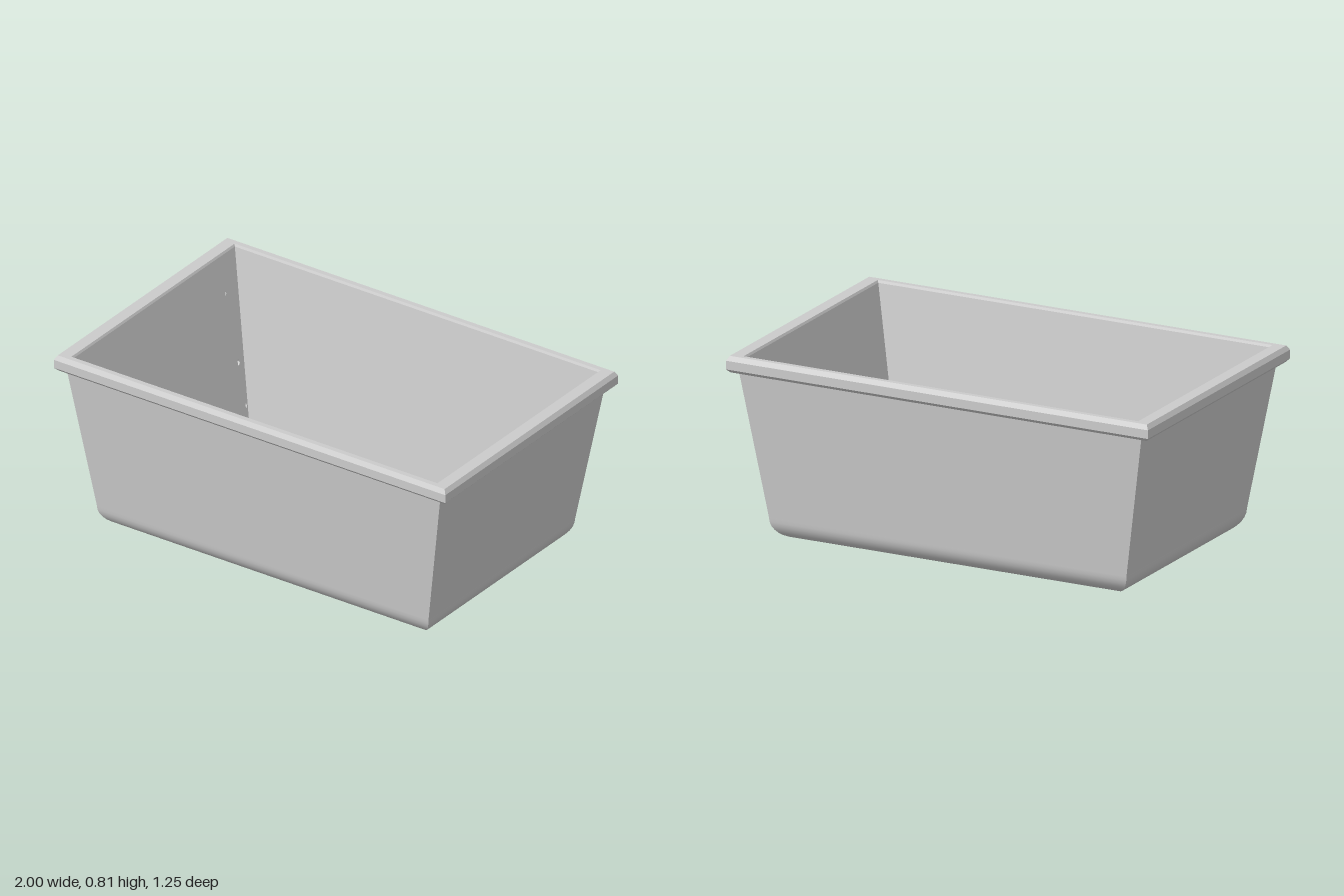
import * as THREE from 'three';
import { mergeGeometries, toCreasedNormals } from 'three/addons/utils/BufferGeometryUtils.js';

const material = new THREE.MeshStandardMaterial({ color: 0xcccccc });
const POCKET = 0.02, STEPS = 20;

// Half sizes in x and z of the sloping outer and inner skins at two heights
const OUTER = { y0: 0.1, y1: 0.75, x: [0.847, 0.955], z: [0.53, 0.597] };
const INNER = { y0: 0.04, y1: 0.8, x: [0.77, 0.93], z: [0.465, 0.585] };
const half = (skin, axis, y) =>
  THREE.MathUtils.mapLinear(y, skin.y0, skin.y1, skin[axis][0], skin[axis][1]);

// Places wall coordinates (u along, y up, d outward) on side k: front, +x, back, -x
function place(k, u, y, d) {
  return [[u, y, d], [d, y, -u], [-u, y, -d], [-d, y, u]][k];
}
const depthAxis = (k) => (k % 2 ? 'x' : 'z');
const widthAxis = (k) => (k % 2 ? 'z' : 'x');

function build(positions, indices) {
  const g = new THREE.BufferGeometry();
  g.setAttribute('position', new THREE.Float32BufferAttribute(positions.flat(), 3));
  g.setIndex(indices);
  return g.toNonIndexed();
}

// Flat shape bent onto a wall; flip makes it face the inside
function skin(shape, k, depth, flip) {
  const g = new THREE.ShapeGeometry(shape, STEPS);
  const p = g.attributes.position, pts = [];
  for (let i = 0; i < p.count; i++) pts.push(place(k, p.getX(i), p.getY(i), depth(p.getY(i))));
  const idx = Array.from(g.index.array);
  return build(pts, flip ? idx.reverse() : idx);
}

function ellipse(h, Type) {
  const s = new Type();
  s.absellipse(h.u, h.y, h.rx, h.ry, 0, Math.PI * 2, false, 0);
  return s;
}

// Side of an opening, from the inner depth to the outer one
function tunnel(h, k, inner, outer) {
  const pts = [], idx = [];
  for (let i = 0; i <= STEPS; i++) {
    const t = (i / STEPS) * Math.PI * 2;
    const u = h.u + h.rx * Math.cos(t), y = h.y + h.ry * Math.sin(t);
    pts.push(place(k, u, y, inner(y)), place(k, u, y, outer(y)));
    if (i < STEPS) {
      const b = i * 2;
      idx.push(b, b + 1, b + 3, b, b + 3, b + 2);
    }
  }
  return build(pts, idx);
}

function trapezoid(s, k, holes) {
  const a = half(s, widthAxis(k), s.y0), b = half(s, widthAxis(k), s.y1);
  const shape = new THREE.Shape([[-a, s.y0], [a, s.y0], [b, s.y1], [-b, s.y1]]
    .map(([x, y]) => new THREE.Vector2(x, y)));
  shape.holes = holes.map((h) => ellipse(h, THREE.Path));
  return shape;
}

// One wall: two skins, openings that go through and shallow inner pockets
function wallGeometry(k, holes) {
  const inner = (y) => half(INNER, depthAxis(k), y);
  const outer = (y) => half(OUTER, depthAxis(k), y);
  const pocket = (y) => inner(y) + POCKET;
  const parts = [
    skin(trapezoid(OUTER, k, holes.filter((h) => h.through)), k, outer, false),
    skin(trapezoid(INNER, k, holes), k, inner, true),
  ];
  for (const h of holes) {
    parts.push(tunnel(h, k, inner, h.through ? outer : pocket));
    if (!h.through) parts.push(skin(ellipse(h, THREE.Shape), k, pocket, true));
  }
  return toCreasedNormals(mergeGeometries(parts), 0.6);
}

// Rectangular mitred rings [half x, y, half z], listed upwards for an outer face
function mitred(rings) {
  const parts = [];
  for (let k = 0; k < 4; k++) {
    const pts = [], idx = [];
    rings.forEach(([x, y, z], i) => {
      const w = k % 2 ? z : x, d = k % 2 ? x : z;
      pts.push(place(k, -w, y, d), place(k, w, y, d));
      if (i) {
        const b = i * 2 - 2;
        idx.push(b, b + 1, b + 3, b, b + 3, b + 2);
      }
    });
    parts.push(build(pts, idx));
  }
  return toCreasedNormals(mergeGeometries(parts), 0.5);
}

// Openings per side: [position along the world axis, height, radius, radius, through]
const holes = [[], [], [], []];
function add(k, along, y, rx, ry, through = false) {
  holes[k].push({ u: (k === 1 || k === 2 ? -1 : 1) * along, y, rx, ry, through });
}

function layOutHoles() {
  // Front: two low rows of slots, with pockets inside
  for (const [x, rx] of [[-0.74, 0.045], [-0.545, 0.07], [-0.26, 0.085]]) {
    add(0, x, 0.267, rx, 0.027, true);
    add(0, x, 0.16, rx, 0.023, true);
    add(0, x, 0.65, rx * 0.8, 0.025);
  }
  add(0, 0.02, 0.26, 0.05, 0.014, true);
  add(0, 0.31, 0.15, 0.02, 0.006, true);
  add(0, -0.545, 0.54, 0.06, 0.02);
  add(0, 0.04, 0.65, 0.05, 0.012);
  for (const x of [0.06, 0.61]) add(0, x, 0.15, 0.05, 0.012);

  // Back: two columns of openings and a low row of pockets
  for (const y of [0.65, 0.54, 0.38, 0.23]) {
    add(2, -0.74, y, 0.035, 0.032, true);
    add(2, -0.545, y, 0.055, 0.035, true);
  }
  add(2, -0.74, 0.11, 0.025, 0.015);
  add(2, -0.31, 0.665, 0.05, 0.012);
  for (const [x, rx] of [[-0.26, 0.055], [0.06, 0.06], [0.39, 0.05], [0.61, 0.03]])
    add(2, x, 0.24, rx, 0.03);

  // Ends: rows of pockets on the inside
  for (const z of [-0.44, -0.26, 0, 0.21, 0.42]) {
    add(1, z, 0.17, 0.04, 0.025);
    add(1, z, 0.28, 0.04, 0.025);
    add(3, z, 0.14, 0.035, 0.02);
    add(3, z, 0.33, 0.04, 0.02);
    if (z < 0.3) add(3, z, 0.64, 0.035, 0.015);
  }
  for (const z of [0, 0.21]) add(1, z, 0.57, 0.06, 0.02);
}

export function createModel() {
  const group = new THREE.Group();
  const mesh = (geometry, name) => {
    const m = new THREE.Mesh(geometry, material);
    m.name = name;
    group.add(m);
    return m;
  };
  holes.forEach((list) => { list.length = 0; });
  layOutHoles();
  ['frontWall', 'leftWall', 'backWall', 'rightWall']
    .forEach((name, k) => mesh(wallGeometry(k, holes[k]), name));

  // Rounded lower edge
  const edge = [];
  for (let i = 0; i <= 8; i++) {
    const t = (1 - i / 8) * Math.PI / 2, r = 0.1;
    edge.push([0.847 - r + r * Math.cos(t), r - r * Math.sin(t), 0.53 - r + r * Math.cos(t)]);
  }
  mesh(mitred(edge), 'roundedLowerEdge');

  // Floor and underside
  const floor = mesh(new THREE.PlaneGeometry(1.54, 0.93), 'floor');
  floor.rotation.x = -Math.PI / 2;
  floor.position.y = 0.04;
  const underside = mesh(new THREE.PlaneGeometry(1.494, 0.86), 'underside');
  underside.rotation.x = Math.PI / 2;

  // Bevelled rim
  mesh(mitred([
    [0.953, 0.737, 0.595], [0.985, 0.737, 0.61], [1, 0.752, 0.625], [1, 0.79, 0.625],
    [0.988, 0.81, 0.613], [0.935, 0.81, 0.59], [0.93, 0.8, 0.585],
  ]), 'rim');
  return group;
}
